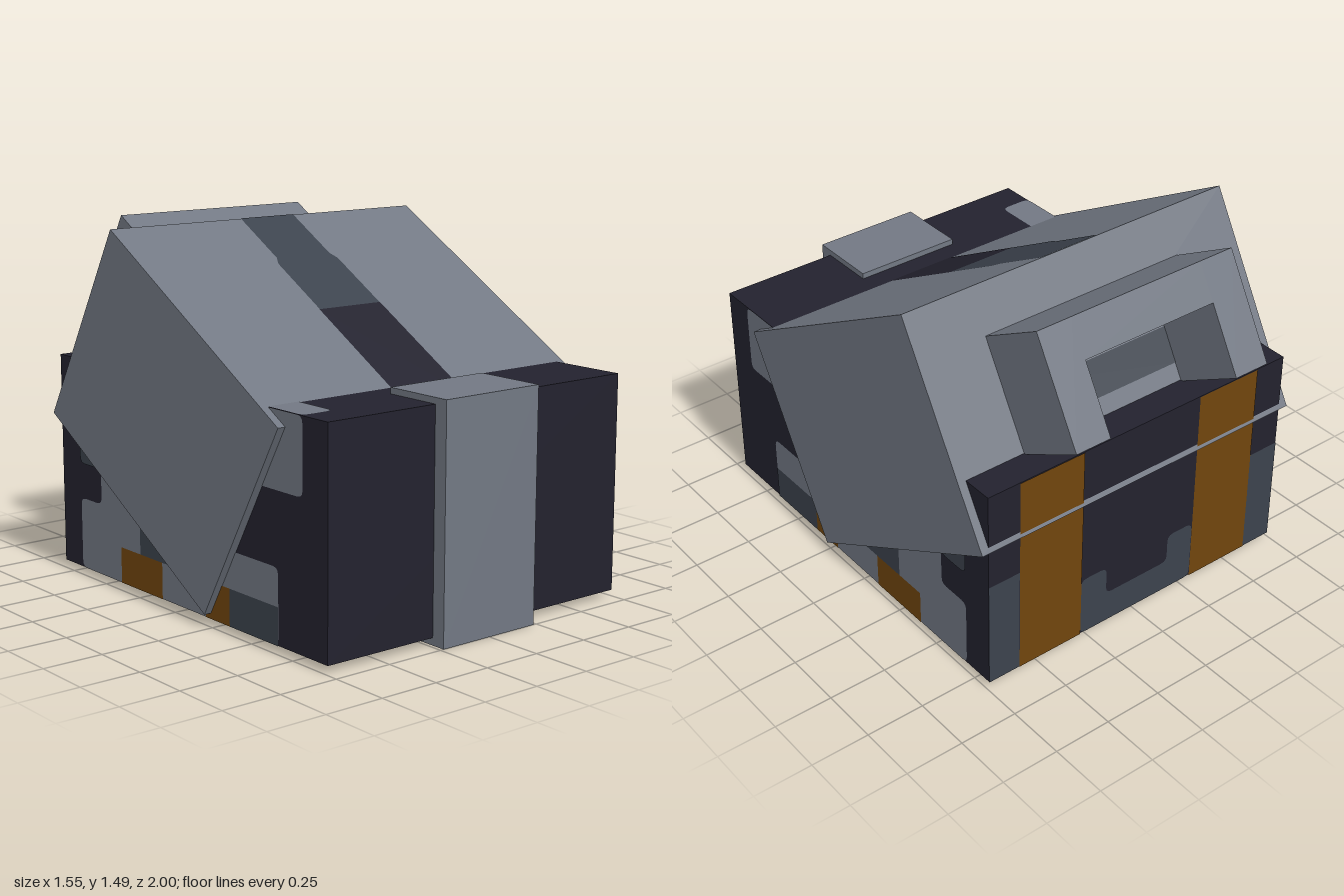
import * as THREE from 'three';

const flat = (name, color) => Object.assign(new THREE.MeshStandardMaterial({ color }), { name });
const grey = flat('light grey', 0x727883);
const dark = flat('near black', 0x23222e);
const slate = flat('slate', 0x3c434d);
const brown = flat('brown', 0x70450d);

// Box given by its lower and upper corners
function box(parent, name, mat, [x0, y0, z0], [x1, y1, z1]) {
  const mesh = new THREE.Mesh(new THREE.BoxGeometry(x1 - x0, y1 - y0, z1 - z0), mat);
  mesh.position.set((x0 + x1) / 2, (y0 + y1) / 2, (z0 + z1) / 2);
  mesh.name = name;
  parent.add(mesh);
}

// Flat painted patch with softened corners, laid on a face group
function patch(parent, name, mat, points, layer = 1, r = 0.03) {
  const p = points.map(([x, y]) => new THREE.Vector2(x, y));
  const shape = new THREE.Shape();
  p.forEach((c, i) => {
    const a = p[(i + p.length - 1) % p.length], b = p[(i + 1) % p.length];
    const from = c.clone().add(a.clone().sub(c).setLength(r));
    const to = c.clone().add(b.clone().sub(c).setLength(r));
    if (i === 0) shape.moveTo(from.x, from.y);
    else shape.lineTo(from.x, from.y);
    if (r > 0) shape.quadraticCurveTo(c.x, c.y, to.x, to.y);
  });
  shape.closePath();
  const mesh = new THREE.Mesh(new THREE.ShapeGeometry(shape, 3), mat);
  mesh.position.z = 0.002 * layer;
  mesh.name = name;
  parent.add(mesh);
}

const rect = (x0, y0, x1, y1) => [[x0, y0], [x1, y0], [x1, y1], [x0, y1]];

function face(parent, name, position, rotation) {
  const g = new THREE.Group();
  g.name = name;
  g.position.set(...position);
  g.rotation.set(...rotation);
  parent.add(g);
  return g;
}

export function createModel() {
  const model = new THREE.Group();
  model.name = 'model';

  // Body and front clasp
  box(model, 'body', dark, [-0.74, 0.03, -0.83], [0.74, 0.92, 0.94]);
  box(model, 'frontClasp', grey, [-0.235, 0, 0.69], [0.235, 0.945, 1]);

  // Side markings, mirrored; outlines are in (z, y)
  for (const s of [1, -1]) {
    const side = face(model, s > 0 ? 'leftSide' : 'rightSide', [s * 0.74, 0, 0], [0, s * Math.PI / 2, 0]);
    const paint = (name, mat, pts, layer, r) =>
      patch(side, name, mat, pts.map(([z, y]) => [-s * z, y]), layer, r);
    paint('upperPatch', grey, [[0.8, 0.62], [0.3, 0.62], [0.3, 0.92], [0.8, 0.92]], 1);
    paint('lowerBand', grey, [[0.655, 0.03], [-0.69, 0.03], [-0.69, 0.33], [-0.535, 0.33],
      [-0.535, 0.5], [-0.2, 0.5], [-0.2, 0.33], [0.655, 0.33]], 1);
    paint('frontSlate', slate, rect(0.355, 0.03, 0.655, 0.18), 2, 0);
    paint('frontBrown', brown, rect(0.2, 0.03, 0.355, 0.18), 2, 0);
    paint('middleSlate', slate, rect(-0.25, 0.18, 0, 0.34), 2, 0);
    paint('backBrown', brown, rect(-0.39, 0.03, -0.095, 0.18), 2, 0);
    paint('backSlate', slate, rect(-0.69, 0.48, -0.535, 0.62), 2);
  }

  // Patch wrapping over one top edge
  const top = face(model, 'bodyTop', [0, 0.92, 0], [-Math.PI / 2, 0, 0]);
  patch(top, 'topPatch', grey, rect(-0.74, -0.8, -0.6, -0.4));

  // Back markings
  const back = face(model, 'bodyBack', [0, 0, -0.83], [0, Math.PI, 0]);
  patch(back, 'backCentre', slate, [[-0.29, 0.03], [0.29, 0.03], [0.29, 0.3], [0.16, 0.3],
    [0.16, 0.17], [-0.16, 0.17], [-0.16, 0.3], [-0.29, 0.3]]);
  for (const s of [1, -1]) {
    patch(back, 'backStrap', brown, rect(s * 0.29, 0.03, s * 0.595, 0.92), 2, 0);
    patch(back, 'backCorner', slate, rect(s * 0.595, 0.03, s * 0.74, 0.5), 1, 0);
  }

  // Underside markings, outlines in (x, z)
  const under = face(model, 'underside', [0, 0.03, 0], [Math.PI / 2, 0, 0]);
  patch(under, 'underPanel', grey, [[-0.74, -0.69], [-0.37, -0.69], [-0.37, -0.5], [0.37, -0.5],
    [0.37, -0.69], [0.74, -0.69], [0.74, 0.5], [0.55, 0.5], [0.55, 0.68], [-0.55, 0.68],
    [-0.55, 0.5], [-0.74, 0.5]]);
  patch(under, 'underBand', dark, rect(-0.45, -0.08, 0.45, 0.18), 2);
  for (const s of [1, -1]) {
    patch(under, 'underStrap', brown, rect(s * 0.29, -0.83, s * 0.595, -0.73), 2, 0);
    patch(under, 'underSideBrown', brown, rect(s * 0.66, -0.39, s * 0.74, -0.095), 2, 0);
    patch(under, 'underFrontBrown', brown, rect(s * 0.66, 0.2, s * 0.74, 0.355), 2, 0);
  }

  // Tilted lid
  const lid = face(model, 'lid', [0, 0.768, -0.07], [Math.PI / 6, 0, 0]);
  box(lid, 'lidBlock', grey, [-0.775, -0.4675, -0.62], [0.775, 0.4675, 0.62]);

  // Lid stripe: narrow then wider slate, ending in black; outline in (x, -z)
  const lidTop = face(lid, 'lidTop', [0, 0.4675, 0], [-Math.PI / 2, 0, 0]);
  patch(lidTop, 'lidStripe', slate, [[-0.155, -0.007], [0.155, -0.007], [0.155, 0.3], [0.137, 0.34],
    [0.137, 0.62], [-0.137, 0.62], [-0.137, 0.34], [-0.155, 0.3]], 1, 0);
  patch(lidTop, 'lidStripeEnd', dark, rect(-0.157, -0.62, 0.157, -0.007), 1, 0);

  // Handle hood on the back of the lid, open below
  const hood = face(lid, 'hood', [0, 0, 0], [0, 0, 0]);
  box(hood, 'hoodTop', grey, [-0.31, 0.1125, -0.96], [0.31, 0.2775, -0.62]);
  for (const s of [1, -1]) {
    const xs = [s * 0.31, s * 0.47].sort((a, b) => a - b);
    box(hood, 'hoodSide', grey, [xs[0], -0.1875, -0.96], [xs[1], 0.2775, -0.62]);
  }
  const lidBack = face(lid, 'lidBack', [0, 0, -0.62], [0, Math.PI, 0]);
  patch(lidBack, 'hoodInset', slate, rect(-0.31, -0.11, 0.31, 0.04), 1, 0);

  return model;
}
